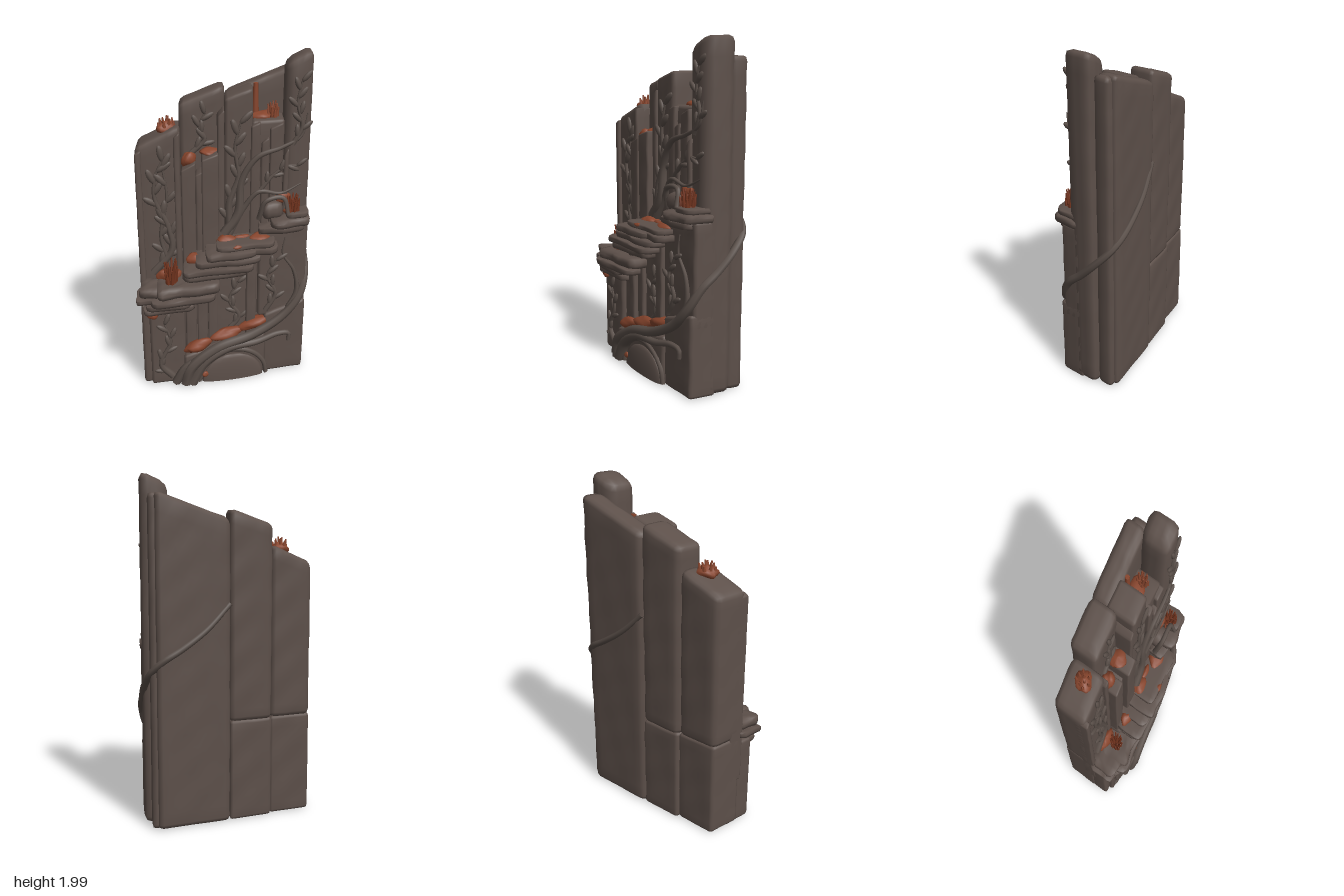
import * as THREE from 'three';
import { mergeVertices, mergeGeometries } from 'three/addons/utils/BufferGeometryUtils.js';

const SLANT = 0.2; // the wall runs back in z as x grows

export function createModel() {
  const model = new THREE.Group();
  const mat = (name, color) => Object.assign(new THREE.MeshStandardMaterial({ color }), { name });
  const stone = mat('stone', 0x5d504a);
  const wood = mat('carved vine', 0x5a4f49);
  const rust = mat('rust moss', 0x87452d);
  const sprig = mat('dark rust sprig', 0x74351f);

  const add = (name, geo, material) => {
    const mesh = new THREE.Mesh(geo, material);
    mesh.name = name;
    model.add(mesh);
  };
  const wobble = (x, y, z) => Math.sin(x * 31 + y * 9 + 1) * Math.cos(y * 17 - z * 23) + 0.6 * Math.sin(z * 41 + y * 27 + x * 13);

  // Worn block with bevelled edges; yl and yr are the top heights at its two sides
  function block(name, x0, x1, y0, yl, yr, z0, z1, r = 0.018, rough = 0.002) {
    const h = (yl + yr) / 2 - y0, dims = [x1 - x0, h, z1 - z0];
    const n = dims.map(s => Math.max(4, Math.min(26, Math.round(s / 0.05) + 2)));
    const bevel = dims.map(s => Math.min(r, s / 3));
    let g = new THREE.BoxGeometry(1, 1, 1, ...n);
    g.deleteAttribute('normal');
    g.deleteAttribute('uv');
    g = mergeVertices(g);
    const p = g.attributes.position, v = new THREE.Vector3(), inner = new THREE.Vector3();
    for (let i = 0; i < p.count; i++) {
      const c = [p.getX(i), p.getY(i), p.getZ(i)].map((t, k) => {
        const idx = Math.round((t + 0.5) * n[k]);
        if (idx === 0) return 0;
        if (idx === n[k]) return dims[k];
        return bevel[k] + (dims[k] - 2 * bevel[k]) * (idx - 1) / (n[k] - 2);
      });
      inner.set(...c.map((t, k) => Math.min(dims[k] - bevel[k], Math.max(bevel[k], t))));
      v.set(...c).sub(inner);
      const reach = Math.max(Math.abs(v.x), Math.abs(v.y), Math.abs(v.z));
      if (reach > 0) v.setLength(reach);
      v.add(inner);
      const top = yl + (yr - yl) * v.x / dims[0];
      const x = v.x + x0, y = y0 + v.y / h * (top - y0), z = v.z + z0;
      const d = rough * wobble(x, y, z);
      p.setXYZ(i, x + d * 0.5 * Math.sign(x0 + x1 - 2 * x), y - (y > y0 + 0.03 ? Math.abs(d) : 0), z + d);
    }
    g.computeVertexNormals();
    add(name, g, stone);
  }

  // Tapered round stem through [x, y, z] points
  function stemGeometry(points, r0, r1) {
    const curve = new THREE.CatmullRomCurve3(points.map(a => new THREE.Vector3(...a)));
    const n = points.length * 7, sides = 7;
    const g = new THREE.TubeGeometry(curve, n, r0, sides);
    const p = g.attributes.position, v = new THREE.Vector3();
    for (let i = 0; i <= n; i++) {
      const c = curve.getPointAt(i / n), s = 1 + (r1 / r0 - 1) * i / n;
      for (let j = 0; j <= sides; j++) {
        const k = i * (sides + 1) + j;
        v.fromBufferAttribute(p, k).sub(c).multiplyScalar(s).add(c);
        p.setXYZ(k, v.x, Math.max(0, v.y), v.z);
      }
    }
    return { g, curve };
  }
  const stem = (name, points, r0, r1 = 0.004) => add(name, stemGeometry(points, r0, r1).g, wood);

  // Carved creeper lying on the wall at depth z, with leaves on alternate sides
  function creeper(name, flat, z, r = 0.016, leaves = 8, size = 0.05) {
    const { g, curve } = stemGeometry(flat.map(([x, y]) => [x, y, z]), r, 0.006);
    const parts = [g];
    for (let i = 1; i <= leaves; i++) {
      const t = i / leaves, c = curve.getPointAt(t), d = curve.getTangentAt(t);
      const a = Math.atan2(d.y, d.x) - Math.PI / 2 + (i % 2 ? 0.6 : -0.6);
      const leaf = new THREE.SphereGeometry(1, 8, 6).scale(size * 0.38, size, 0.013);
      leaf.translate(0, size * 0.9, 0).rotateZ(a).translate(c.x, c.y, z + 0.002);
      parts.push(leaf);
    }
    add(name, mergeGeometries(parts), wood);
  }

  // Low lumpy patch of moss, optionally tilted to follow a slope
  function moss(x, y, z, rx, ry, rz, tilt = 0) {
    const g = new THREE.SphereGeometry(1, 16, 8);
    const p = g.attributes.position;
    for (let i = 0; i < p.count; i++) {
      const s = 1 + 0.13 * wobble(p.getX(i) / 9 + x, p.getY(i) / 9, p.getZ(i) / 9 + z);
      p.setXYZ(i, p.getX(i) * s * rx, p.getY(i) * s * ry, p.getZ(i) * s * rz);
    }
    g.rotateZ(tilt).translate(x, y, z);
    g.computeVertexNormals();
    add('moss', g, rust);
  }

  // Clump of stubby branching shoots
  function tuft(x, y, z, height, spread, count, material = sprig) {
    const parts = [];
    for (let i = 0; i < count; i++) {
      const a = i * 2.4, d = spread * Math.sqrt(i / count), h = height * (1 - 0.6 * i / count);
      parts.push(new THREE.CylinderGeometry(0.004, 0.013, h, 5).translate(0, h / 2, 0)
        .rotateX(Math.sin(a) * 0.18).rotateZ(-Math.cos(a) * 0.18)
        .translate(x + Math.cos(a) * d, y, z + Math.sin(a) * d));
    }
    add('tuft', mergeGeometries(parts), material);
  }

  // Rear columns
  block('rearLeftLower', -0.5, -0.25, 0, 0.6, 0.6, -0.19, 0.02);
  block('rearLeftUpper', -0.5, -0.25, 0.59, 1.5, 1.61, -0.19, 0.015, 0.03);
  block('rearMiddleLower', -0.255, 0, 0, 0.6, 0.6, -0.21, 0.02);
  block('rearMiddleUpper', -0.255, 0.002, 0.59, 1.72, 1.81, -0.21, -0.04, 0.03);
  block('rearRight', 0, 0.425, 0, 1.75, 1.9, -0.222, -0.095, 0.03);
  block('rearRightEdge', 0.38, 0.458, 0, 1.88, 1.89, -0.195, -0.09, 0.03);
  block('tallPillar', 0.34, 0.495, 0, 1.94, 2.01, -0.1, 0.075, 0.042);
  block('innerColumn', 0, 0.16, 0, 1.76, 1.81, -0.12, 0.055, 0.02);
  block('pocketColumn', 0.155, 0.345, 0, 1.62, 1.62, -0.12, 0.05);

  // Narrow front shafts
  [[-0.245, -0.165, 1.37, 1.41, 0.08], [-0.165, -0.125, 1.33, 1.35, 0.06], [-0.13, -0.035, 1.43, 1.46, 0.095],
    [-0.04, 0.0, 1.66, 1.7, 0.06], [0.15, 0.205, 1.6, 1.62, 0.075], [0.21, 0.255, 1.5, 1.53, 0.08],
    [0.26, 0.335, 1.58, 1.61, 0.075], [0.34, 0.37, 1.42, 1.46, 0.09], [-0.5, -0.465, 1.47, 1.49, 0.035],
    [-0.285, -0.25, 1.55, 1.58, 0.035]]
    .forEach(([x0, x1, yl, yr, z]) => block('frontShaft', x0, x1, 0.3, yl, yr, -0.06, z, 0.01));

  // Lower front
  block('baseLeftEdge', -0.497, -0.43, 0, 0.56, 0.56, 0, 0.115);
  block('baseLeft', -0.45, -0.24, 0, 0.56, 0.56, 0, 0.145);
  block('baseMiddle', -0.25, 0.25, 0, 0.2, 0.3, 0, 0.175);
  block('baseRight', 0.24, 0.495, 0, 0.42, 0.5, 0, 0.16);
  block('recessWall', -0.25, 0.24, 0.1, 0.72, 0.86, 0, 0.1);
  block('rightWall', 0.2, 0.495, 0.4, 0.98, 1.02, 0, 0.135);
  [[-0.235, -0.17], [-0.165, -0.105], [-0.1, -0.04], [0.13, 0.19]].forEach(([x0, x1], i) =>
    block('recessShaft', x0, x1, 0.2, 0.7 + i * 0.04, 0.72 + i * 0.04, 0.02, 0.125 + (i % 2) * 0.02, 0.01));

  // Stepped slabs
  [[-0.48, -0.18, 0.515, 0.555, 0.18], [-0.46, -0.2, 0.55, 0.59, 0.2], [-0.52, -0.38, 0.59, 0.63, 0.185],
    [-0.43, -0.06, 0.585, 0.63, 0.225], [-0.5, -0.36, 0.63, 0.69, 0.18], [-0.4, -0.03, 0.63, 0.695, 0.215],
    [-0.24, 0.13, 0.735, 0.78, 0.22], [-0.24, 0.17, 0.775, 0.815, 0.245], [-0.17, 0.21, 0.82, 0.865, 0.235],
    [-0.11, 0.18, 0.87, 0.915, 0.26], [0.1, 0.31, 0.87, 0.915, 0.235], [-0.05, 0.29, 0.91, 0.94, 0.225],
    [0.2, 0.47, 0.97, 1.015, 0.175], [0.27, 0.5, 1.01, 1.06, 0.195], [0.36, 0.49, 1.06, 1.09, 0.18],
    [0.22, 0.34, 1.04, 1.15, 0.14]]
    .forEach(([x0, x1, y0, y1, z]) => block('ledge', x0, x1, y0, y1, y1, 0.01, z, 0.035, 0.008));

  // Half-round stone dome and rim at the foot
  const archPoint = (i, rx, ry) => {
    const a = Math.PI * (1 - i / 8);
    return [0.05 + Math.cos(a) * rx, 0.01 + Math.sin(a) * ry, 0.178];
  };
  stem('archRim', Array.from({ length: 9 }, (_, i) => archPoint(i, 0.21, 0.2)), 0.018, 0.014);
  add('archDome', new THREE.SphereGeometry(1, 20, 6, 0, Math.PI * 2, 0, Math.PI / 2)
    .scale(0.19, 0.175, 0.028).translate(0.05, 0, 0.175), stone);

  // Main root: rises over the base, wraps the side and crosses the back
  stem('mainRoot', [[-0.24, 0.01, 0.18], [-0.2, 0.13, 0.195], [-0.05, 0.24, 0.19], [0.18, 0.31, 0.185], [0.36, 0.41, 0.17],
    [0.46, 0.53, 0.15], [0.495, 0.65, 0.09], [0.495, 0.73, 0], [0.485, 0.83, -0.1], [0.445, 0.92, -0.185],
    [0.38, 0.98, -0.222], [0.28, 1.04, -0.232], [0.14, 1.14, -0.23], [0, 1.28, -0.21]], 0.036, 0.014);
  stem('lowerRoot', [[-0.2, 0.01, 0.19], [-0.12, 0.15, 0.195], [0.03, 0.235, 0.195], [0.2, 0.25, 0.185], [0.33, 0.28, 0.17],
    [0.4, 0.27, 0.165], [0.4, 0.22, 0.165]], 0.034, 0.014);
  stem('sideRoot', [[-0.3, 0.01, 0.16], [-0.24, 0.12, 0.175], [-0.15, 0.18, 0.185], [0.08, 0.26, 0.18]], 0.03, 0.014);
  stem('risingRoot', [[0.36, 0.4, 0.155], [0.44, 0.55, 0.145], [0.42, 0.7, 0.14], [0.35, 0.82, 0.138], [0.36, 0.93, 0.138]], 0.022);
  stem('upperBranch', [[0.0, 0.96, 0.075], [0.08, 1.08, 0.075], [0.1, 1.28, 0.07], [0.19, 1.42, 0.08], [0.33, 1.47, 0.085],
    [0.44, 1.53, 0.08], [0.47, 1.66, 0.078]], 0.032);
  stem('middleBranch', [[0.03, 0.96, 0.075], [0.12, 1.12, 0.07], [0.2, 1.21, 0.085], [0.33, 1.19, 0.085], [0.45, 1.24, 0.08]], 0.024);
  stem('ledgeLoop', [[0.2, 1.05, 0.11], [0.24, 1.17, 0.14], [0.34, 1.18, 0.14], [0.37, 1.08, 0.165]], 0.016, 0.012);

  // Leafy carving in the panels
  creeper('leftPanelCarving', [[-0.42, 0.72], [-0.31, 0.86], [-0.33, 1.02], [-0.4, 1.2], [-0.39, 1.33], [-0.35, 1.42]], 0.018, 0.026, 11);
  creeper('leftPanelTwig', [[-0.32, 0.75], [-0.37, 0.95], [-0.33, 1.2], [-0.35, 1.38]], 0.018, 0.015, 6);
  creeper('middlePanelCarving', [[-0.19, 1.43], [-0.11, 1.51], [-0.14, 1.58], [-0.11, 1.66]], -0.036, 0.018, 7, 0.042);
  creeper('innerPanelCarving', [[0.03, 0.98], [0.03, 1.15], [0.08, 1.3], [0.06, 1.48], [0.09, 1.62]], 0.058, 0.026, 10);
  creeper('tallPanelCarving', [[0.39, 1.48], [0.44, 1.58], [0.41, 1.72], [0.43, 1.84]], 0.077, 0.016, 8, 0.042);
  creeper('shaftCarving', [[0.21, 1.22], [0.28, 1.3], [0.36, 1.35], [0.42, 1.35]], 0.078, 0.014, 5, 0.038);
  creeper('baseLeftCarving', [[-0.32, 0.05], [-0.39, 0.15], [-0.33, 0.3], [-0.36, 0.43]], 0.148, 0.022, 8, 0.042);
  creeper('recessCarving', [[0.03, 0.32], [0.09, 0.4], [0.03, 0.52], [0.08, 0.64]], 0.104, 0.018, 8, 0.042);
  creeper('rightWallCarving', [[0.25, 0.44], [0.31, 0.55], [0.26, 0.68], [0.31, 0.78]], 0.138, 0.018, 8, 0.042);

  // Moss pockets: tops, stepped slabs, then the sloping recess floor
  [[-0.325, 1.58, -0.08, 0.058, 0.035, 0.05], [0.225, 1.62, -0.055, 0.078, 0.028, 0.055],
    [-0.2, 1.41, 0.0, 0.042, 0.045, 0.04, -0.5], [-0.085, 1.45, 0.0, 0.052, 0.02, 0.05],
    [-0.33, 0.7, 0.035, 0.075, 0.05, 0.035], [-0.17, 0.83, 0.105, 0.05, 0.035, 0.035],
    [0.01, 0.935, 0.1, 0.055, 0.024, 0.045], [0.21, 0.935, 0.12, 0.06, 0.025, 0.05], [0.1, 0.935, 0.1, 0.05, 0.018, 0.02],
    [0.07, 0.93, 0.215, 0.03, 0.012, 0.014], [0.39, 1.09, 0.115, 0.045, 0.018, 0.03], [0.34, 1.16, 0.08, 0.05, 0.03, 0.02],
    [-0.16, 0.25, 0.145, 0.085, 0.038, 0.04, 0.3], [0.01, 0.305, 0.14, 0.1, 0.036, 0.042, 0.25],
    [0.18, 0.36, 0.14, 0.1, 0.034, 0.04, 0.3], [-0.43, 0.505, 0.14, 0.035, 0.03, 0.03],
    [-0.12, 0.055, 0.185, 0.02, 0.018, 0.012]].forEach(a => moss(...a));
  add('mossStreak', new THREE.CylinderGeometry(0.014, 0.022, 0.19, 7).translate(0.182, 1.71, -0.085), rust);
  tuft(-0.325, 1.59, -0.08, 0.06, 0.045, 10, rust);
  tuft(-0.315, 0.69, 0.108, 0.16, 0.028, 16);
  tuft(0.4, 1.085, 0.115, 0.11, 0.036, 18);
  tuft(0.28, 1.62, -0.04, 0.09, 0.03, 12, rust);

  // Slant the whole wall
  const shear = new THREE.Matrix4().set(1, 0, 0, 0, 0, 1, 0, 0, -SLANT, 0, 1, 0, 0, 0, 0, 1);
  model.children.forEach(m => m.geometry.applyMatrix4(shear));
  return model;
}
